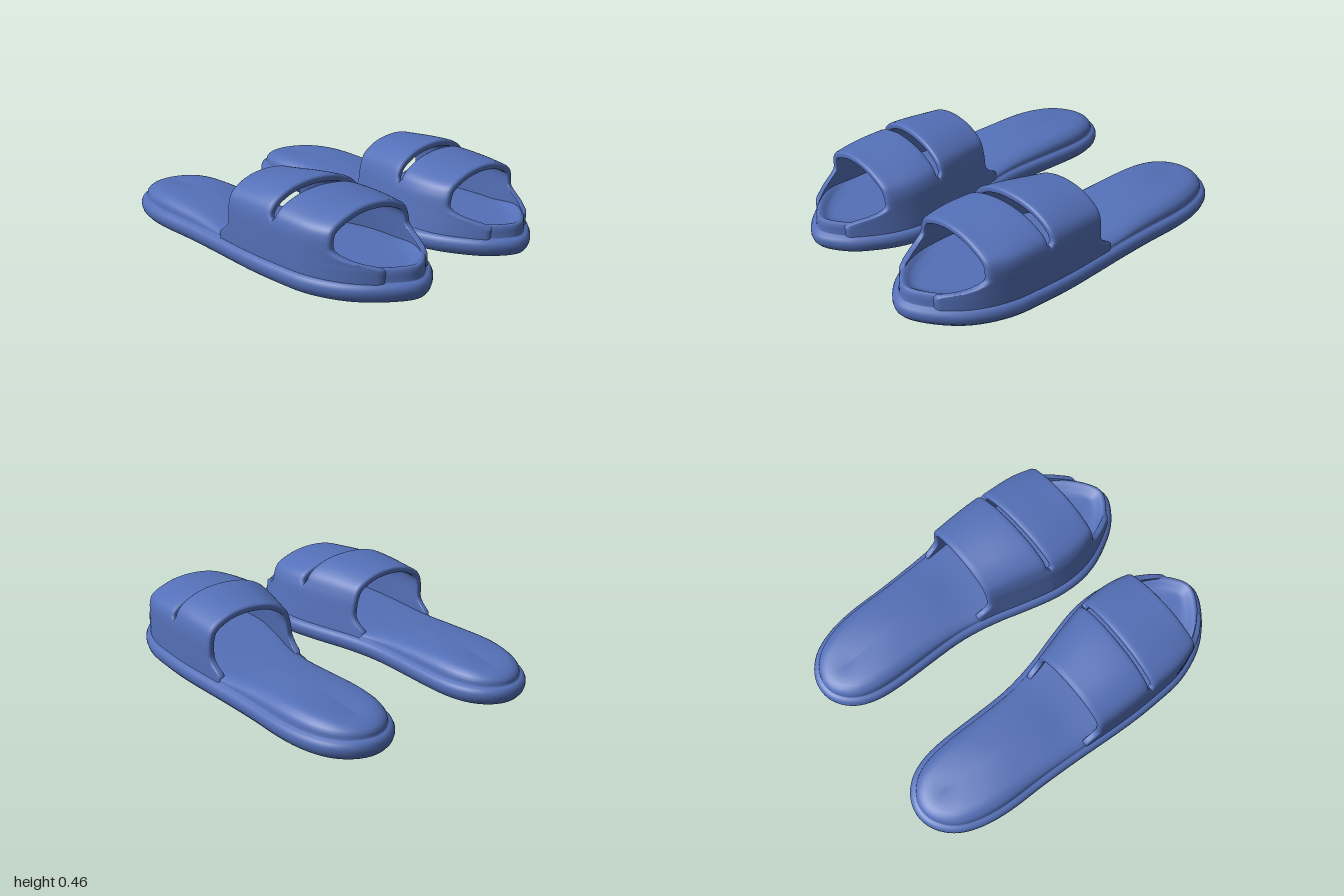
import * as THREE from 'three';

const { smoothstep, lerp, clamp } = THREE.MathUtils;

// Smooth interpolation through a few [z, value] pairs
function curve(pairs) {
  const f = new THREE.CubicInterpolant(pairs.map(p => p[0]), pairs.map(p => p[1]), 1, new Float32Array(1));
  return t => f.evaluate(t)[0];
}

// Foot outline: centre line and width factor along the length (heel -1, toe +1)
const centre = curve([[-1, 0.44], [-0.8, 0.448], [-0.6, 0.457], [-0.4, 0.46], [-0.2, 0.462], [0, 0.452],
  [0.2, 0.431], [0.4, 0.409], [0.6, 0.403], [0.8, 0.4], [0.9, 0.39], [1, 0.385]]);
const widthFactor = curve([[-1, 0.45], [-0.9, 0.424], [-0.8, 0.388], [-0.6, 0.328], [-0.4, 0.289], [-0.2, 0.278],
  [0, 0.297], [0.2, 0.338], [0.4, 0.386], [0.6, 0.428], [0.8, 0.433], [0.9, 0.413], [1, 0.35]]);
const halfWidth = z => widthFactor(z) * Math.sqrt(1 - z * z);
// Height of the footbed along the length
const bedHeight = curve([[-1, 0.165], [-0.8, 0.18], [-0.6, 0.184], [-0.3, 0.165], [-0.1, 0.142],
  [0.1, 0.135], [0.5, 0.135], [1, 0.135]]);

// Surface from point(i, j); i and j can wrap, side = -1 mirrors it for the other foot
function surface(point, ni, nj, wrapI, wrapJ, side) {
  const rows = wrapI ? ni : ni + 1, cols = wrapJ ? nj : nj + 1;
  const pos = [], idx = [];
  for (let i = 0; i < rows; i++) {
    for (let j = 0; j < cols; j++) {
      const p = point(i, j);
      pos.push(p.x * side, p.y, p.z);
    }
  }
  for (let i = 0; i < ni; i++) {
    for (let j = 0; j < nj; j++) {
      const i2 = (i + 1) % rows, j2 = (j + 1) % cols;
      const a = i * cols + j, b = i2 * cols + j, c = i2 * cols + j2, d = i * cols + j2;
      if (side > 0) idx.push(a, b, d, b, c, d);
      else idx.push(a, d, b, b, d, c);
    }
  }
  const g = new THREE.BufferGeometry();
  g.setAttribute('position', new THREE.Float32BufferAttribute(pos, 3));
  g.setIndex(idx);
  g.computeVertexNormals();
  return g;
}

// Sole: rings of the outline, from the middle of the underside to the middle of the footbed
function soleGeometry(side) {
  const N = 128;
  const outline = a => {
    const z = Math.cos(a);
    return new THREE.Vector2(centre(z) + Math.sin(a) * widthFactor(z), z);
  };
  // [inset, share towards the spine, height] for the outsole
  const outsole = [[0.07, 1, 0], [0.07, 0, 0], [0.045, 0, 0.003], [0.022, 0, 0.012], [0.007, 0, 0.03], [0, 0, 0.052],
    [0, 0, 0.072], [0.008, 0, 0.09], [0.02, 0, 0.098], [0.03, 0, 0.1], [0.034, 0, 0.105]];
  // [inset, share towards the spine, dome share, toe rim height] for the footbed
  const footbed = [[0.035, 0, 0.25, 0.135], [0.038, 0, 0.42, 0.158], [0.047, 0, 0.58, 0.168], [0.062, 0, 0.74, 0.167],
    [0.08, 0, 0.85, 0.152], [0.1, 0, 0.92, 0.139], [0.1, 0.25, 0.98, 0.135], [0.1, 0.6, 1, 0.135], [0.1, 1, 1, 0.135]];
  const rings = [...outsole, ...footbed];
  const point = (i, j) => {
    const a = i / N * Math.PI * 2, p = outline(a);
    const t = outline(a + 0.01).sub(outline(a - 0.01)).normalize();
    const [inset, share, h, rim] = rings[j];
    const z = p.y;
    const x = lerp(p.x + t.y * inset, centre(z), share);
    const zz = lerp(z - t.x * inset, z * 0.8, share);
    const y = rim === undefined ? h : lerp(0.1 + (bedHeight(z) - 0.1) * h, rim, smoothstep(z, 0.55, 0.85));
    return new THREE.Vector3(x, y, zz);
  };
  return surface(point, N, rings.length - 1, true, false, side);
}

// Arch of the strap, from the outer side over the top to the inner side
const arch = new THREE.SplineCurve([[1, 0], [1, 0.3], [0.985, 0.587], [0.9, 0.773], [0.69, 0.9], [0.39, 0.98], [0, 1],
  [-0.42, 0.947], [-0.75, 0.8], [-0.88, 0.59], [-0.94, 0.32], [-1, 0]].map(p => new THREE.Vector2(...p)));

function archPoint(u, z, drop) {
  const p = arch.getPoint(clamp(u, 0, 1));
  return new THREE.Vector2(centre(z) + p.x * (halfWidth(z) - 0.029),
    0.08 + 0.375 * p.y - drop(z) * smoothstep(p.y, 0.5, 1));
}

// Strap band: closed shell between a back edge and a front edge, both given by (height, across)
function bandGeometry(side, back, front, drop) {
  const NU = 80, NV = 16, T = 0.036;
  // loop around the thickness: [along, z shift, depth]
  const loop = [];
  for (let k = 0; k <= NV; k++) loop.push([k / NV, lerp(0.014, -0.014, k / NV), 0]);
  loop.push([1, -0.004, 0.004], [1, 0, 0.012], [1, 0, T - 0.008], [1, -0.004, T - 0.002]);
  for (let k = NV; k >= 0; k--) loop.push([k / NV, lerp(0.01, -0.01, k / NV), T]);
  loop.push([0, 0.004, T - 0.002], [0, 0, T - 0.008], [0, 0, 0.012], [0, 0.004, 0.004]);
  const point = (i, j) => {
    const u = i / NU, q = arch.getPoint(u), y = 0.08 + 0.375 * q.y;
    const [v, dz, depth] = loop[j];
    const z = lerp(back(y, q.x), front(y, q.x), v) + dz;
    const p = archPoint(u, z, drop);
    const t = archPoint(u + 0.004, z, drop).sub(archPoint(u - 0.004, z, drop)).normalize();
    return new THREE.Vector3(p.x - t.y * depth, p.y + t.x * depth, z);
  };
  return surface(point, NU, loop.length, false, true, side);
}

// Edges of the two bands; the slit closes and the bands overlap low on the sides
const slit = (y, n, way) => 0.355 - 0.013 * n + way * lerp(-0.03, 0.015, smoothstep(y, 0.27, 0.335));
const flare = (y, start, reach) => reach * clamp((start - y) / 0.08, 0, 1) ** 2;
const bands = {
  rearStrap: {
    back: y => -flare(y, 0.22, 0.08),
    front: (y, n) => slit(y, n, -1),
    drop: z => 0.025 * (1 - smoothstep(z, -0.1, 0.32)),
  },
  frontStrap: {
    back: (y, n) => slit(y, n, 1),
    front: y => 0.69 + flare(y, 0.25, 0.2),
    drop: z => lerp(0.028, 0.05, smoothstep(z, 0.35, 0.72)),
  },
};

export function createModel() {
  const blue = new THREE.MeshStandardMaterial({ color: 0x5470b8 });
  blue.name = 'blue foam';
  const model = new THREE.Group();
  model.name = 'slides';
  for (const side of [1, -1]) {
    const slide = new THREE.Group();
    slide.name = side > 0 ? 'leftSlide' : 'rightSlide';
    const add = (name, geometry) => {
      const mesh = new THREE.Mesh(geometry, blue);
      mesh.name = name;
      slide.add(mesh);
    };
    add('sole', soleGeometry(side));
    for (const [name, b] of Object.entries(bands)) add(name, bandGeometry(side, b.back, b.front, b.drop));
    model.add(slide);
  }
  return model;
}
